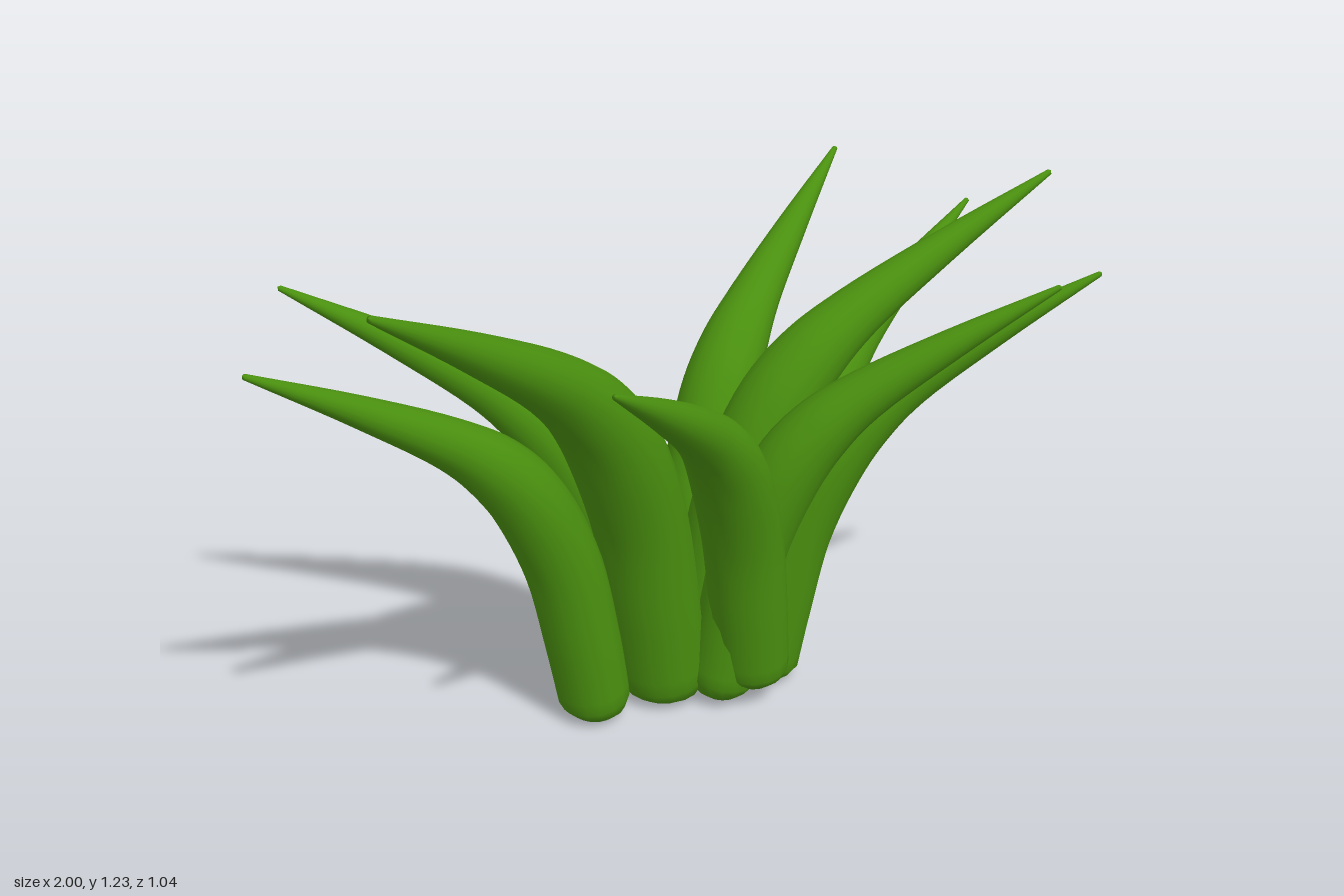
import * as THREE from 'three';

// Leaf profile: outward reach (0..1), height (0..1), half width
const PROFILE = [
  [0.0, 0.05, 0.08], [0.035, 0.2, 0.083], [0.095, 0.4, 0.084], [0.2, 0.575, 0.082],
  [0.3, 0.67, 0.072], [0.42, 0.745, 0.057], [0.68, 0.865, 0.034], [0.995, 0.997, 0.006],
];
const SIDES = 16;
const RINGS = 36;

// Name, base point, tip point
const LEAVES = [
  ['backRightLeaf', [-0.07, 0, -0.155], [-0.72, 1.02, -0.515]],
  ['backLeftLeaf', [0.115, 0, -0.18], [0.845, 1.06, -0.485]],
  ['rightLeaf', [-0.25, 0, -0.065], [-1, 1.02, -0.11]],
  ['leftLeaf', [0.29, 0, -0.07], [1, 0.97, -0.16]],
  ['tallRightLeaf', [-0.075, 0, -0.035], [-0.93, 1.23, 0.27]],
  ['tallLeftLeaf', [0.08, 0, -0.07], [0.895, 1.14, 0.19]],
  ['frontRightLeaf', [0.075, 0.045, 0.11], [-0.57, 1.06, 0.48]],
  ['frontLeftLeaf', [0.03, 0.01, 0.06], [0.575, 1.02, 0.515]],
  ['sideLeftLeaf', [0.17, 0, 0.05], [0.755, 1.0, 0.475]],
];

// Sweeps an oval section along the bent profile, in the vertical plane from base to tip
function leafGeometry(base, tip) {
  const b = new THREE.Vector3(...base);
  const span = new THREE.Vector3(...tip).sub(b);
  const height = span.y;
  const up = new THREE.Vector3(0, 1, 0);
  const out = new THREE.Vector3(span.x, 0, span.z);
  const reach = out.length();
  out.normalize();
  const side = new THREE.Vector3().crossVectors(up, out);

  // Rings hold outward distance, height, half width and direction: foot, blade, point
  const path = new THREE.CatmullRomCurve3(
    PROFILE.map(([x, y, r]) => new THREE.Vector3(x * reach, y * height, r * height)));
  const rings = [[0, 0, 0, 0, 1], [0, 0.004, 0.045 * height, 0, 1], [0, 0.024, 0.068 * height, 0, 1]];
  for (let i = 0; i <= RINGS; i++) {
    const p = path.getPoint(i / RINGS);
    const t = path.getTangent(i / RINGS);
    const len = Math.hypot(t.x, t.y);
    rings.push([p.x, p.y, p.z, t.x / len, t.y / len]);
  }
  rings.push([reach, height, 0, 0.8, 0.6]);

  const positions = [];
  const index = [];
  rings.forEach(([x, y, r, tx, ty], i) => {
    for (let j = 0; j < SIDES; j++) {
      const a = (j / SIDES) * Math.PI * 2;
      const across = Math.cos(a) * r;
      const v = b.clone()
        .addScaledVector(out, x + across * ty)
        .addScaledVector(up, y - across * tx)
        .addScaledVector(side, Math.sin(a) * r * 1.07);
      positions.push(v.x, v.y, v.z);
      if (i === rings.length - 1) continue;
      const p = i * SIDES + j;
      const q = i * SIDES + (j + 1) % SIDES;
      index.push(p, q, p + SIDES, q, q + SIDES, p + SIDES);
    }
  });
  const geometry = new THREE.BufferGeometry();
  geometry.setAttribute('position', new THREE.Float32BufferAttribute(positions, 3));
  geometry.setIndex(index);
  geometry.computeVertexNormals();
  return geometry;
}

export function createModel() {
  const plant = new THREE.Group();
  plant.name = 'leafyPlant';
  const leafGreen = new THREE.MeshStandardMaterial({ color: 0x4a900f });
  leafGreen.name = 'leafGreen';

  for (const [name, base, tip] of LEAVES) {
    const leaf = new THREE.Mesh(leafGeometry(base, tip), leafGreen);
    leaf.name = name;
    plant.add(leaf);
  }
  return plant;
}
